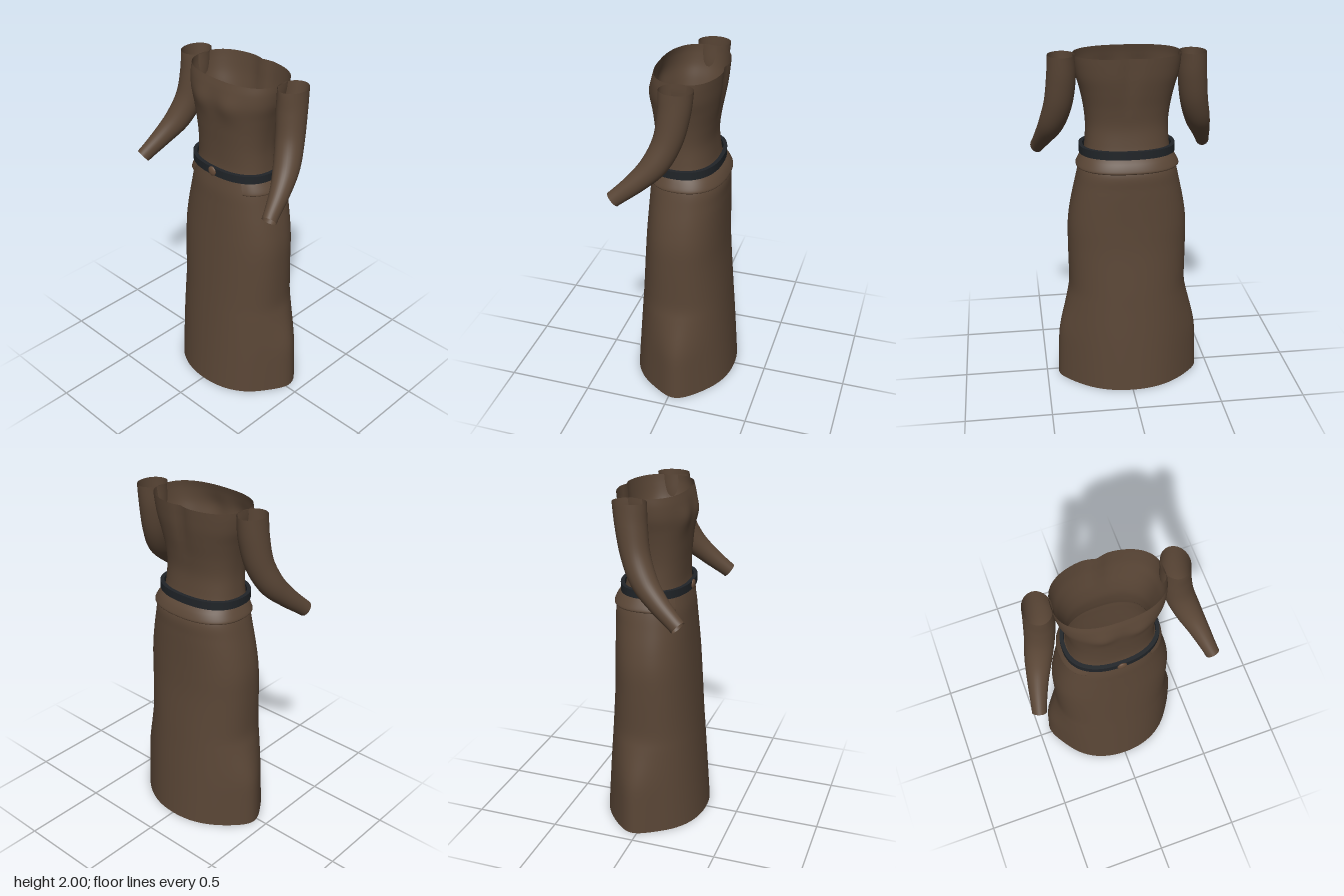
import * as THREE from 'three';

const cloth = new THREE.MeshStandardMaterial({ color: 0x5a4636, side: THREE.DoubleSide });
cloth.name = 'brown cloth';
const leather = new THREE.MeshStandardMaterial({ color: 0x202428, side: THREE.DoubleSide });
leather.name = 'black leather';
const metal = new THREE.MeshStandardMaterial({ color: 0x664c39 });
metal.name = 'bronze';

// Smooth grid surface from f(u, v) -> Vector3, optionally wrapping around u
function surface(nu, nv, f, wrap = true) {
  const pos = [], idx = [], cols = wrap ? nu : nu + 1;
  for (let j = 0; j <= nv; j++) {
    for (let i = 0; i < cols; i++) pos.push(...f(i / nu, j / nv).toArray());
  }
  for (let j = 0; j < nv; j++) {
    for (let i = 0; i < nu; i++) {
      const a = j * cols + i, b = j * cols + (i + 1) % cols;
      const c = a + cols, d = b + cols;
      idx.push(a, c, b, b, c, d);
    }
  }
  const g = new THREE.BufferGeometry();
  g.setAttribute('position', new THREE.Float32BufferAttribute(pos, 3));
  g.setIndex(idx);
  g.computeVertexNormals();
  return g;
}

const named = (name, geometry, material) => {
  const m = new THREE.Mesh(geometry, material);
  m.name = name;
  return m;
};

const pow = (c, e) => Math.sign(c) * Math.abs(c) ** (2 / e);

// Point on a rounded body section: half width, front z, back z, squareness
function section(angle, y, rx, zf, zb, e) {
  return new THREE.Vector3(
    rx * pow(Math.cos(angle), e), y,
    (zf + zb) / 2 + (zf - zb) / 2 * pow(Math.sin(angle), e));
}

// Loft through rows of [y, half width, front z, back z]
function bodyLoft(rows, squareness, adjust, nu = 80, nv = 48, from = 0, sweep = Math.PI * 2, wrap = true) {
  const a = new THREE.SplineCurve(rows.map(r => new THREE.Vector2(r[0], r[1])));
  const b = new THREE.SplineCurve(rows.map(r => new THREE.Vector2(r[2], r[3])));
  return surface(nu, nv, (u, v) => {
    const p = a.getPoint(v), q = b.getPoint(v);
    const s = section(from + u * sweep, p.x, p.y, q.x, q.y, squareness(p.x));
    if (adjust) adjust(s, u);
    return s;
  }, wrap);
}

const bell = (d, w) => Math.exp(-((d / w) ** 2));

function makeSkirt() {
  const rows = [
    [0, 0.375, 0.305, -0.305], [0.3, 0.365, 0.28, -0.283], [0.5, 0.355, 0.263, -0.267],
    [0.62, 0.348, 0.253, -0.258], [0.85, 0.35, 0.235, -0.24], [1.0, 0.348, 0.223, -0.235],
    [1.12, 0.332, 0.213, -0.234], [1.25, 0.304, 0.203, -0.234], [1.35, 0.28, 0.195, -0.23],
    [1.45, 0.245, 0.175, -0.182],
  ];
  return bodyLoft(rows, y => 2.1 + 0.25 * Math.min(1, y / 1.2), p => {
    // side flare below the knee
    const k = THREE.MathUtils.smoothstep(p.y, 0.25, 0.64);
    p.x += Math.sign(p.x) * 0.056 * (1 - k) * bell(p.z + 0.04, 0.12) * Math.min(1, Math.abs(p.x) / 0.3);
  }, 96, 60);
}

function makeTorso() {
  const rows = [
    [1.43, 0.248, 0.172, -0.182], [1.5, 0.24, 0.165, -0.17], [1.6, 0.236, 0.167, -0.162],
    [1.7, 0.246, 0.174, -0.172], [1.8, 0.266, 0.182, -0.19], [1.88, 0.288, 0.186, -0.203],
    [1.95, 0.298, 0.178, -0.21], [2.0, 0.3, 0.165, -0.214],
  ];
  return bodyLoft(rows, () => 2.45, p => {
    if (p.z > 0.08) p.z += 0.014 * bell(Math.abs(p.x) - 0.1, 0.07) * bell(p.y - 1.86, 0.07);
    if (p.z < -0.1) p.z += 0.016 * bell(p.x, 0.04) * THREE.MathUtils.smoothstep(p.y, 1.65, 1.95);
  });
}

// Flap below the belt, open at the front, tapering into the skirt at its ends
function makeHipFlap() {
  const rows = [
    [1.445, 0.25, 0.178, -0.19], [1.41, 0.273, 0.192, -0.222],
    [1.372, 0.294, 0.203, -0.241], [1.358, 0.293, 0.203, -0.24], [1.352, 0.272, 0.188, -0.222],
  ];
  const gap = 0.9;
  return bodyLoft(rows, () => 2.35, (p, u) => {
    const s = 1 - 0.03 * bell(Math.min(u, 1 - u), 0.03);
    p.x *= s;
    p.z *= s;
  }, 80, 16, gap, -(Math.PI + 2 * gap), false);
}

// Flat band with a squared profile around the waist
function makeBelt() {
  const corners = [[0, 1.432], [0, 1.478], [0.022, 1.478], [0.022, 1.432], [0, 1.432]];
  const g = surface(80, 4, (u, v) => {
    const [inset, y] = corners[Math.round(v * 4)];
    return section(u * Math.PI * 2, y, 0.276 - inset, 0.198 - inset, -0.206 + inset, 2.35);
  }).toNonIndexed();
  g.computeVertexNormals();
  return g;
}

// Open sleeve: [x, y, z, radius across, radius in depth]
function makeSleeve(side) {
  const pts = [
    [0.365, 2.0, -0.043, 0.077, 0.094], [0.368, 1.87, -0.032, 0.082, 0.088],
    [0.386, 1.72, -0.003, 0.08, 0.08], [0.422, 1.59, 0.058, 0.073, 0.073],
    [0.462, 1.49, 0.15, 0.056, 0.058], [0.503, 1.385, 0.274, 0.04, 0.045],
  ];
  const path = new THREE.CatmullRomCurve3(
    pts.map(p => new THREE.Vector3(p[0] * side, p[1], p[2])), false, 'catmullrom');
  const radii = new THREE.SplineCurve(pts.map(p => new THREE.Vector2(p[3], p[4])));
  return surface(32, 32, (u, v) => {
    const c = path.getPoint(v), r = radii.getPoint(v), t = path.getTangent(v);
    // the shoulder end is cut level
    t.lerp(new THREE.Vector3(0, -1, 0), Math.max(0, 1 - v * 5)).normalize();
    const across = new THREE.Vector3(1, 0, 0).addScaledVector(t, -t.x).normalize();
    const depth = new THREE.Vector3().crossVectors(across, t);
    const a = -u * Math.PI * 2;
    return c.addScaledVector(across, r.x * Math.cos(a)).addScaledVector(depth, r.y * Math.sin(a));
  });
}

export function createModel() {
  const model = new THREE.Group();
  model.name = 'robe';
  model.add(
    named('skirt', makeSkirt(), cloth),
    named('bodice', makeTorso(), cloth),
    named('hipFlap', makeHipFlap(), cloth),
    named('belt', makeBelt(), leather),
    named('leftSleeve', makeSleeve(1), cloth),
    named('rightSleeve', makeSleeve(-1), cloth));

  // Round buckle on the belt front
  const buckle = named('buckle', new THREE.SphereGeometry(0.028, 24, 16), metal);
  buckle.scale.z = 0.4;
  buckle.position.set(0, 1.455, 0.199);
  model.add(buckle);
  return model;
}
